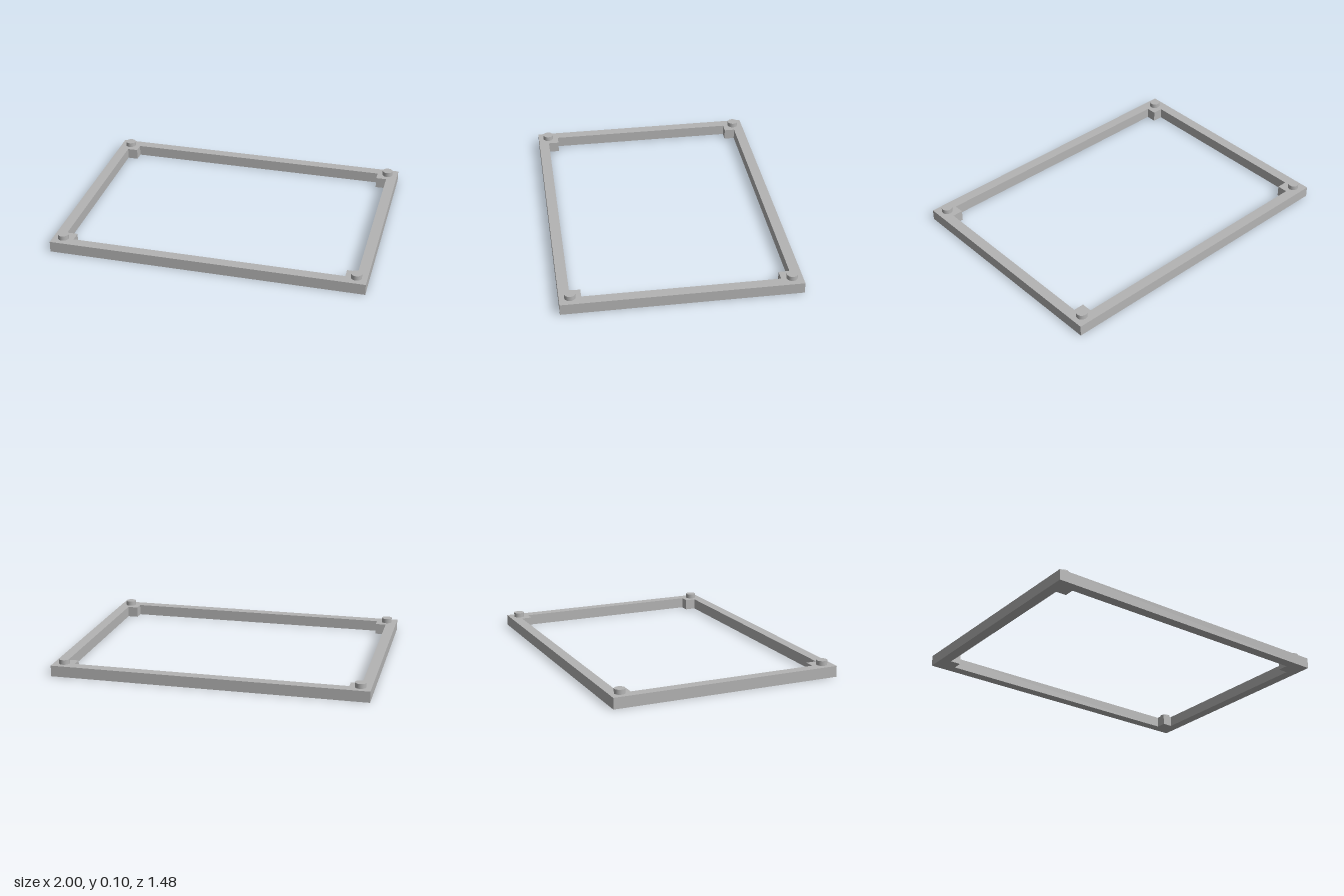
import * as THREE from 'three';

const W = 1, D = 0.74;        // outer half width and half depth
const RAIL = 0.067;           // rail width
const BLOCK = 0.135;          // corner block size
const H = 0.07, PEG_TOP = 0.1;

export function createModel() {
  const model = new THREE.Group();
  model.name = 'cornerPegFrame';
  const grey = new THREE.MeshStandardMaterial({ color: 0xb4b4b4 });
  grey.name = 'grey';

  // Rectangular frame whose opening steps around a square block in each corner
  const outline = new THREE.Shape([
    new THREE.Vector2(-W, -D), new THREE.Vector2(W, -D),
    new THREE.Vector2(W, D), new THREE.Vector2(-W, D),
  ]);
  const opening = [];
  for (const [sx, sz] of [[1, 1], [-1, 1], [-1, -1], [1, -1]]) {
    const corner = [
      [W - RAIL, D - BLOCK], [W - BLOCK, D - BLOCK], [W - BLOCK, D - RAIL],
    ].map(([x, z]) => new THREE.Vector2(sx * x, sz * z));
    if (sx * sz < 0) corner.reverse();
    opening.push(...corner);
  }
  outline.holes.push(new THREE.Path(opening));
  const frameGeometry = new THREE.ExtrudeGeometry(outline, { depth: H, bevelEnabled: false });
  frameGeometry.rotateX(-Math.PI / 2);
  const frame = new THREE.Mesh(frameGeometry, grey);
  frame.name = 'frame';
  model.add(frame);

  // Short locating peg on every corner
  const pegGeometry = new THREE.CylinderGeometry(0.034, 0.034, PEG_TOP - H, 48);
  for (const sx of [-1, 1]) {
    for (const sz of [-1, 1]) {
      const peg = new THREE.Mesh(pegGeometry, grey);
      peg.name = (sz > 0 ? 'front' : 'back') + (sx > 0 ? 'Left' : 'Right') + 'Peg';
      peg.position.set(sx * (W - RAIL), (H + PEG_TOP) / 2, sz * (D - RAIL));
      model.add(peg);
    }
  }
  return model;
}
